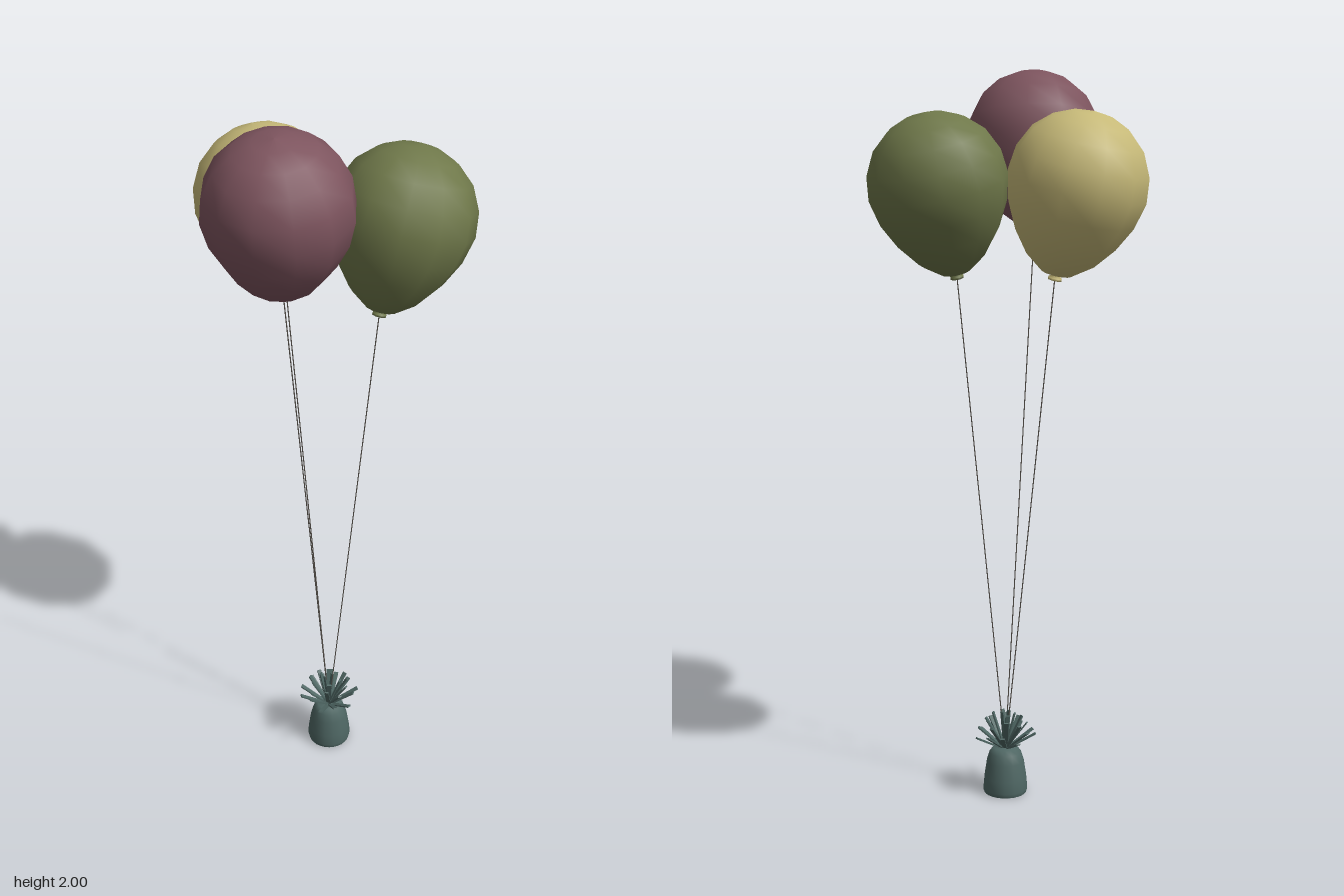
import * as THREE from 'three';

const material = (color) => new THREE.MeshStandardMaterial({ color, side: THREE.DoubleSide });
const lathe = (points, sides) =>
  new THREE.LatheGeometry(points.map(([r, y]) => new THREE.Vector2(r, y)), sides);
const UP = new THREE.Vector3(0, 1, 0);

function addMesh(parent, name, geometry, mat) {
  const mesh = new THREE.Mesh(geometry, mat);
  mesh.name = name;
  parent.add(mesh);
  return mesh;
}

// Balloon skin and its flared knot, both starting at the neck and rising along +y
const SKIN = [[0.012, 0.012], [0.04, 0.018], [0.093, 0.058], [0.137, 0.115], [0.17, 0.18],
  [0.186, 0.25], [0.178, 0.315], [0.148, 0.375], [0.102, 0.416], [0.052, 0.438], [0, 0.445]];
const KNOT = [[0, 0.002], [0.019, 0], [0.019, 0.006], [0.011, 0.012], [0.014, 0.024]];

const BALLOONS = [
  { name: 'redBalloon', color: 0x7d545e, neck: [-0.155, 1.557, 0.13], centre: [-0.172, 1.80, 0.173] },
  { name: 'greenBalloon', color: 0x6f784a, neck: [0.105, 1.44, 0.06], centre: [0.171, 1.685, 0.027] },
  { name: 'yellowBalloon', color: 0xc6b978, neck: [-0.097, 1.44, -0.117], centre: [-0.131, 1.685, -0.175] },
];

export function createModel() {
  const model = new THREE.Group();
  model.name = 'balloonBunch';
  const weightMat = material(0x4f6764);
  const stringMat = material(0x55504a);
  const base = new THREE.Vector3(-0.017, 0, 0.018);

  // Balloons leaning outward, each tied to the weight by a thin string
  BALLOONS.forEach(({ name, color, neck, centre }, i) => {
    const balloon = new THREE.Group();
    balloon.name = name;
    const start = new THREE.Vector3(...neck);
    const axis = new THREE.Vector3(...centre).sub(start).normalize();
    balloon.position.copy(start);
    balloon.quaternion.setFromUnitVectors(UP, axis);
    const mat = material(color);
    addMesh(balloon, 'skin', lathe(SKIN, 12), mat).rotation.y = i * 0.2;
    addMesh(balloon, 'knot', lathe(KNOT, 8), mat);
    model.add(balloon);

    const foot = base.clone().add(new THREE.Vector3(0, 0.12, 0));
    const path = new THREE.LineCurve3(foot, start);
    addMesh(model, 'string', new THREE.TubeGeometry(path, 1, 0.0016, 5), stringMat);
  });

  // Wrapped weight gathered at the top
  const weight = new THREE.Group();
  weight.name = 'weight';
  weight.position.copy(base);
  model.add(weight);
  addMesh(weight, 'weightSide', lathe([[0.059, 0], [0.063, 0.012], [0.06, 0.045], [0.053, 0.09],
    [0.045, 0.115], [0.034, 0.13], [0, 0.133]], 14), weightMat);
  const bottom = addMesh(weight, 'weightBottom', new THREE.CircleGeometry(0.059, 14), weightMat);
  bottom.rotation.x = Math.PI / 2;

  // Fringe of foil strips fanning out in three rings
  const rings = [
    { count: 12, tilt: 1.0, length: 0.098 },
    { count: 10, tilt: 0.6, length: 0.105 },
    { count: 6, tilt: 0.22, length: 0.112 },
  ];
  rings.forEach(({ count, tilt, length }, ring) => {
    for (let i = 0; i < count; i++) {
      const strip = new THREE.BoxGeometry(0.012, length, 0.004);
      strip.translate(0, length / 2, 0);
      const mesh = addMesh(weight, 'fringeStrip', strip, weightMat);
      mesh.position.y = 0.122;
      mesh.rotation.order = 'YXZ';
      mesh.rotation.set(tilt + 0.12 * Math.sin(i * 2.4 + ring), (i + ring * 0.4) / count * Math.PI * 2, 0);
    }
  });
  return model;
}
